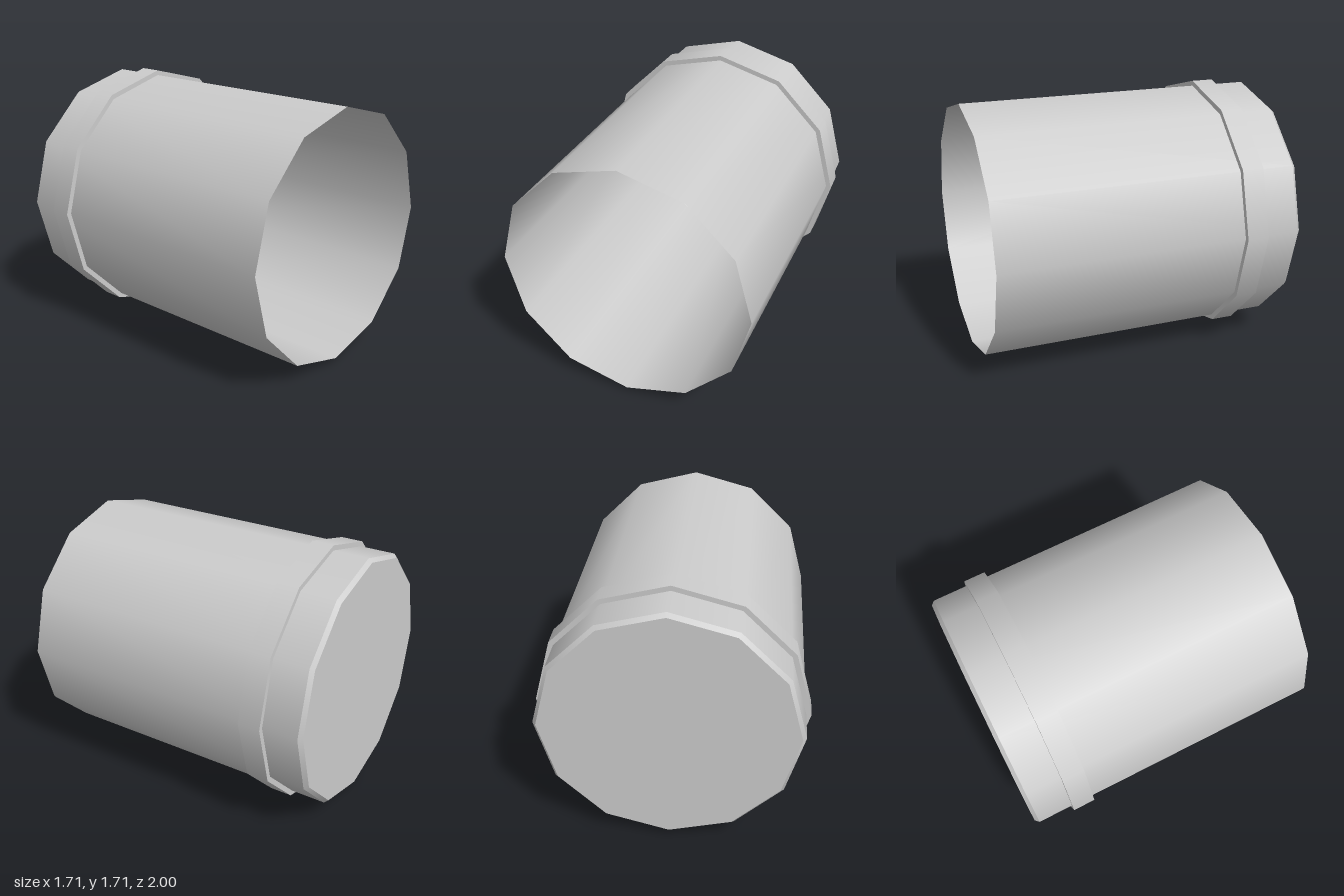
import * as THREE from 'three';

const SIDES = 12;
const CENTRE_Y = 0.853;

export function createModel() {
  const group = new THREE.Group();
  group.name = 'canister';
  const grey = new THREE.MeshStandardMaterial({ color: 0xcccccc, side: THREE.DoubleSide });
  grey.name = 'light grey';

  const add = (name, geometry, z) => {
    const mesh = new THREE.Mesh(geometry, grey);
    mesh.name = name;
    mesh.position.set(0, CENTRE_Y, z);
    group.add(mesh);
  };

  // Open twelve-sided wall along z, with a corner at the top
  const wall = (name, frontRadius, backRadius, front, back) =>
    add(name, new THREE.CylinderGeometry(frontRadius, backRadius, front - back, SIDES, 1, true)
      .rotateX(Math.PI / 2), (front + back) / 2);

  // Main tube, open at the front, with a bevelled closed back
  wall('tubeWall', 0.82, 0.82, 1, -0.975);
  wall('backBevel', 0.82, 0.797, -0.975, -1);
  add('backCap', new THREE.CircleGeometry(0.797, SIDES, Math.PI / 2).rotateY(Math.PI), -1);

  // Raised collar near the back
  wall('collarWall', 0.853, 0.853, -0.6, -0.745);
  const face = () => new THREE.RingGeometry(0.82, 0.853, SIDES, 1, Math.PI / 2);
  add('collarFrontFace', face(), -0.6);
  add('collarBackFace', face().rotateY(Math.PI), -0.745);

  return group;
}
